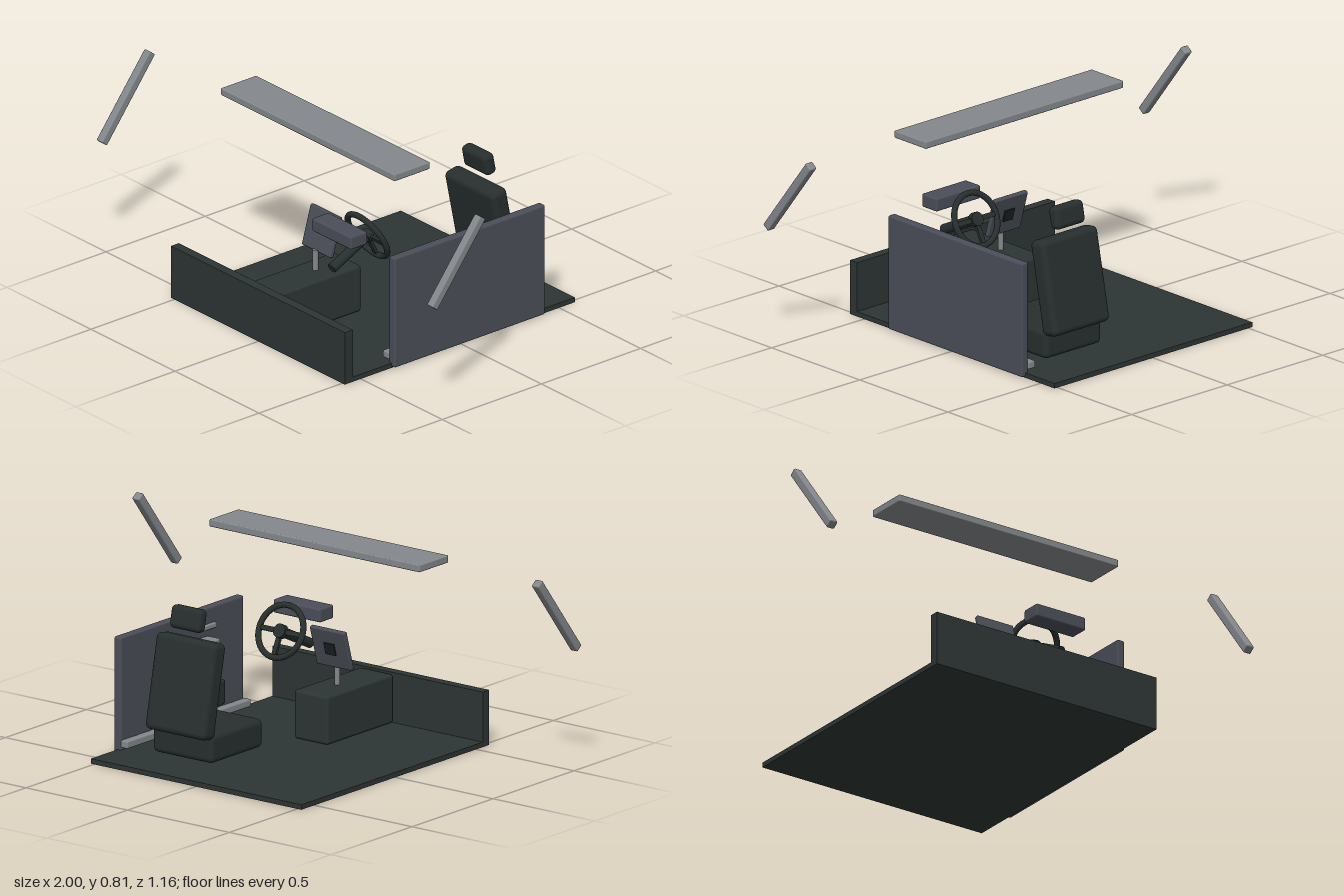
import * as THREE from 'three';
import { RoundedBoxGeometry } from 'three/addons/geometries/RoundedBoxGeometry.js';

const mat = (name, color) => {
  const m = new THREE.MeshStandardMaterial({ color });
  m.name = name;
  return m;
};

export function createModel() {
  const root = new THREE.Group();
  root.name = 'cabinInterior';
  const carpet = mat('dark carpet', 0x2d3534);
  const leather = mat('dark upholstery', 0x272f2e);
  const slate = mat('slate panel', 0x4b4e59);
  const grey = mat('light grey trim', 0x84888c);
  const black = mat('black display', 0x1c2122);
  const yellow = mat('yellow accent', 0xb5b52a);

  const add = (name, geo, material, pos, tilt = 0, parent = root) => {
    const mesh = new THREE.Mesh(geo, material);
    mesh.name = name;
    mesh.position.set(...pos);
    mesh.rotation.x = tilt;
    parent.add(mesh);
    return mesh;
  };
  const box = (name, material, size, pos, tilt, parent) =>
    add(name, new THREE.BoxGeometry(...size), material, pos, tilt, parent);
  const soft = (name, material, size, r, pos, tilt, parent) =>
    add(name, new RoundedBoxGeometry(...size, 3, r), material, pos, tilt, parent);

  // Floor, firewall and centre console
  box('floor', carpet, [1.035, 0.02, 1.16], [-0.002, 0.01, 0]);
  box('firewall', carpet, [1.035, 0.22, 0.04], [-0.002, 0.11, 0.56]);
  soft('centreConsole', carpet, [0.165, 0.195, 0.41], 0.012, [-0.002, 0.118, 0.332]);

  // Roof header and the two windscreen pillars
  soft('roofHeader', grey, [1.035, 0.03, 0.18], 0.005, [-0.002, 0.8, 0.24]);
  for (const side of [-1, 1])
    soft('windscreenPillar', grey, [0.035, 0.397, 0.035], 0.006, [side * 0.9825, 0.637, 0.415], -0.66);

  // Driver seat
  const seat = new THREE.Group();
  seat.name = 'driverSeat';
  seat.position.x = 0.228;
  root.add(seat);
  soft('seatCushion', leather, [0.297, 0.115, 0.32], 0.022, [0, 0.085, -0.22], 0, seat);
  soft('seatBack', leather, [0.297, 0.38, 0.08], 0.024, [0, 0.312, -0.357], 0.2, seat);
  soft('headrest', leather, [0.15, 0.092, 0.052], 0.02, [0, 0.578, -0.339], 0.2, seat);

  // Steering wheel: local z runs forward along the column
  const wheel = new THREE.Group();
  wheel.name = 'steeringWheel';
  wheel.position.set(0.205, 0.41, 0.203);
  wheel.rotation.x = 0.45;
  root.add(wheel);
  add('wheelRim', new THREE.TorusGeometry(0.105, 0.012, 12, 40), leather, [0, 0, 0], 0, wheel);
  add('wheelHub', new THREE.CylinderGeometry(0.028, 0.028, 0.025, 24), leather, [0, 0, 0], Math.PI / 2, wheel);
  for (const angle of [0, Math.PI, -Math.PI / 2]) {
    const spoke = box('wheelSpoke', leather, [0.085, 0.02, 0.012],
      [Math.cos(angle) * 0.06, Math.sin(angle) * 0.06, 0], 0, wheel);
    spoke.rotation.z = angle;
  }
  add('steeringColumn', new THREE.CylinderGeometry(0.02, 0.02, 0.2, 20), leather, [0, 0, 0.1], Math.PI / 2, wheel);

  // Instrument pod and centre screen
  soft('instrumentPod', slate, [0.232, 0.055, 0.085], 0.008, [0.205, 0.469, 0.343]);
  const screen = new THREE.Group();
  screen.name = 'centreScreen';
  screen.position.set(-0.004, 0.37, 0.255);
  screen.rotation.x = -0.28;
  root.add(screen);
  soft('screenHousing', slate, [0.17, 0.165, 0.02], 0.005, [0, 0, 0], 0, screen);
  box('screenButton', black, [0.05, 0.05, 0.006], [0, 0, -0.012], 0, screen);
  add('screenPost', new THREE.CylinderGeometry(0.011, 0.011, 0.09, 16), grey, [-0.004, 0.255, 0.288]);

  // Door with its inner fittings
  const door = new THREE.Group();
  door.name = 'driverDoor';
  root.add(door);
  soft('doorPanel', slate, [0.035, 0.465, 0.76], 0.008, [0.517, 0.237, -0.035], 0, door);
  soft('armrest', grey, [0.066, 0.03, 0.305], 0.008, [0.467, 0.345, -0.033], 0, door);
  soft('doorPocket', leather, [0.07, 0.1, 0.39], 0.01, [0.466, 0.14, -0.045], 0, door);
  box('pocketAccent', yellow, [0.045, 0.008, 0.05], [0.467, 0.193, 0.113], 0, door);
  soft('doorHandle', grey, [0.016, 0.022, 0.08], 0.006, [0.494, 0.395, 0.125], 0, door);
  soft('doorSill', grey, [0.035, 0.03, 0.765], 0.006, [0.483, 0.045, -0.035], 0, door);

  return root;
}
